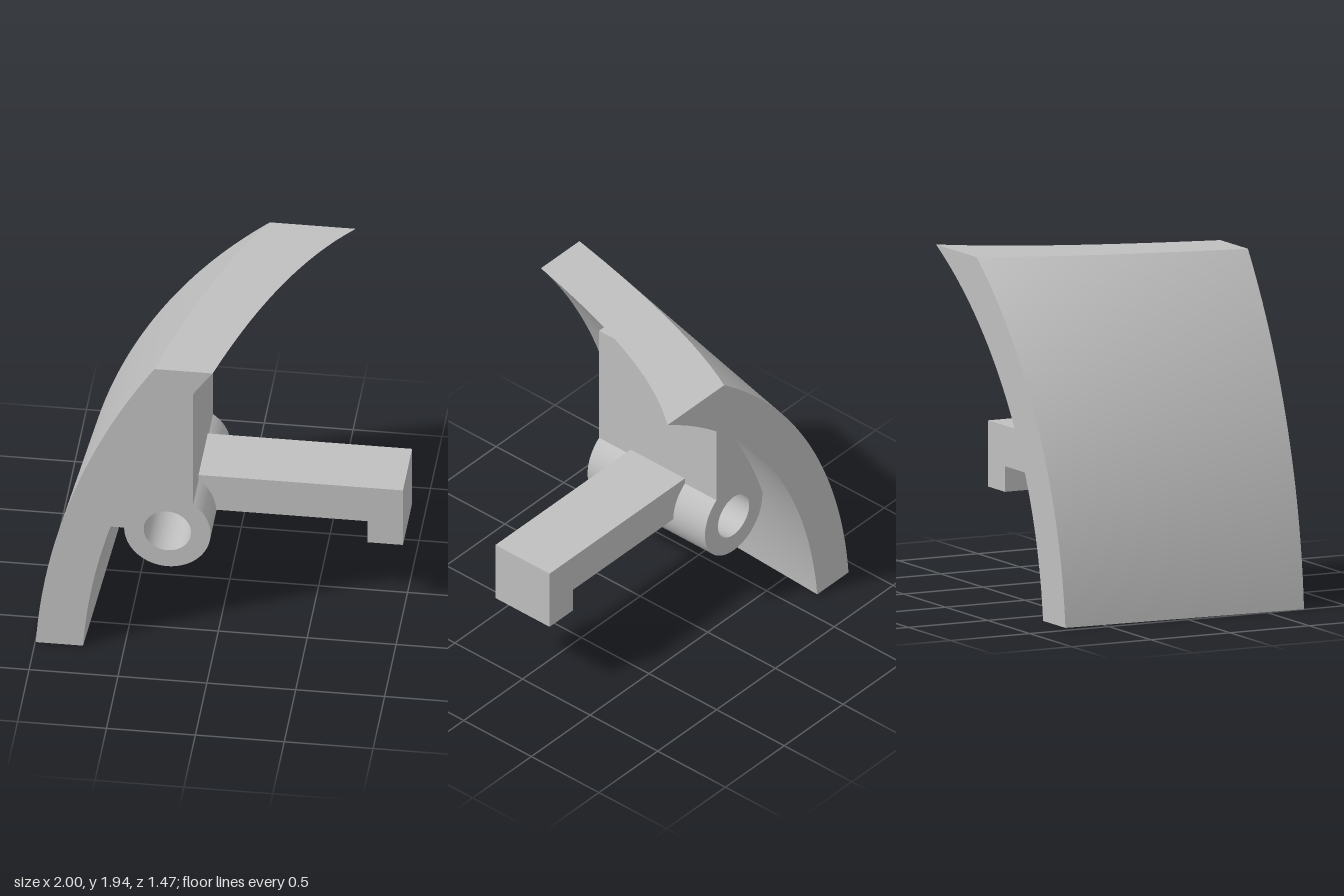
import * as THREE from 'three';
import { toCreasedNormals } from 'three/addons/utils/BufferGeometryUtils.js';

const HEIGHT = 1.94, DEPTH = 1.47, THICK = 0.265;
const PIN = { x: -0.295, y: 0.615, r: 0.243, hole: 0.133 };

// x of the conical shell surface at height y and depth z (offset outward)
function shellX(y, z, offset) {
  const t = 0.5 - z / DEPTH; // 0 at the front, 1 at the back
  const r = THREE.MathUtils.lerp(3.563, 2.475, t) + offset;
  const cx = THREE.MathUtils.lerp(2.825, 1.804, t);
  return cx - Math.sqrt(r * r - (y + 0.23) ** 2);
}

// Extrude a shape along z, centred on z = 0
function extrude(shape, depth) {
  const geo = new THREE.ExtrudeGeometry(shape, { depth, bevelEnabled: false, curveSegments: 64 });
  geo.translate(0, 0, -depth / 2);
  return toCreasedNormals(geo, 0.4);
}

export function createModel() {
  const group = new THREE.Group();
  const grey = new THREE.MeshStandardMaterial({ color: 0xbfbfbf });
  grey.name = 'plain grey';
  const add = (name, geo) => {
    const mesh = new THREE.Mesh(geo, grey);
    mesh.name = name;
    group.add(mesh);
  };

  // Curved shell: a box bent between the inner and outer cones
  const shell = new THREE.BoxGeometry(1, HEIGHT, DEPTH, 1, 48, 24);
  shell.translate(0, HEIGHT / 2, 0);
  const p = shell.attributes.position;
  for (let i = 0; i < p.count; i++) {
    p.setX(i, shellX(p.getY(i), p.getZ(i), p.getX(i) < 0 ? THICK : 0));
  }
  shell.computeVertexNormals();
  add('curvedShell', shell);

  // Mounting block with the round hinge barrel; its left edge is sunk in the shell
  const block = new THREE.Shape();
  const edge = -0.15;
  block.moveTo(edge, 1.565);
  block.lineTo(-0.27, 1.565);
  block.lineTo(-0.68, PIN.y);
  block.lineTo(PIN.x - PIN.r, PIN.y);
  block.absarc(PIN.x, PIN.y, PIN.r, Math.PI, 2 * Math.PI + Math.acos((edge - PIN.x) / PIN.r), false);
  block.closePath();
  const hole = new THREE.Path();
  hole.absarc(PIN.x, PIN.y, PIN.hole, 0, Math.PI * 2, true);
  block.holes.push(hole);
  add('hingeBlock', extrude(block, 0.868));

  // Arm with a downturned tip
  const arm = new THREE.Shape([
    [-0.155, 0.615], [0.8, 0.615], [0.8, 0.47], [1, 0.47], [1, 0.845], [-0.155, 0.845],
  ].map(([x, y]) => new THREE.Vector2(x, y)));
  add('hookedArm', extrude(arm, 0.4));

  return group;
}
